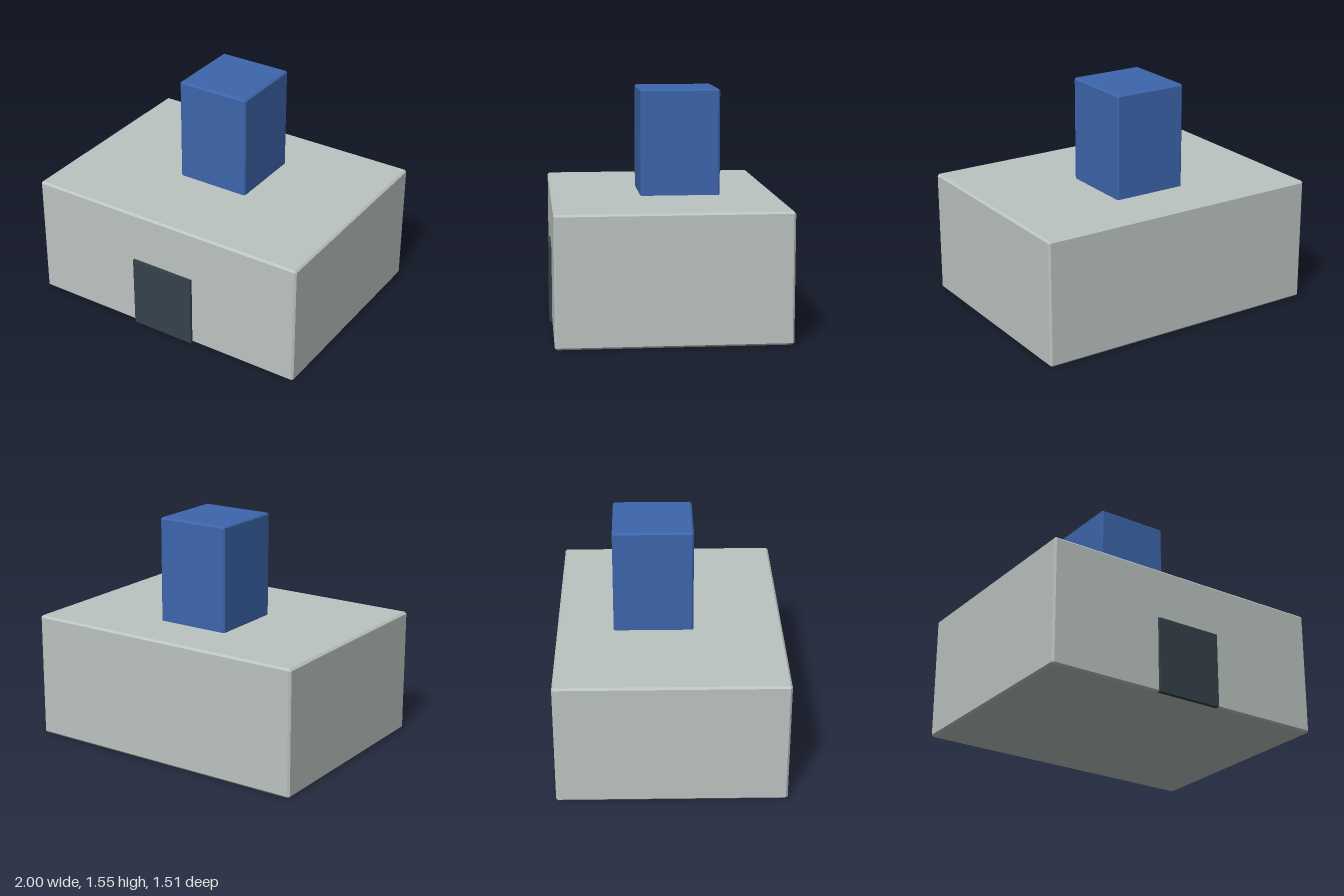
import * as THREE from 'three';
import { ConvexGeometry } from 'three/addons/geometries/ConvexGeometry.js';

// Box between two corners with every edge chamfered by c
function chamferedBox(min, max, c) {
  const centre = min.map((v, i) => (v + max[i]) / 2);
  const half = max.map((v, i) => (v - min[i]) / 2);
  const points = [];
  for (const sx of [-1, 1]) for (const sy of [-1, 1]) for (const sz of [-1, 1]) {
    const sign = [sx, sy, sz];
    // each corner becomes three points, one on each adjoining face
    for (let face = 0; face < 3; face++) {
      points.push(new THREE.Vector3(...sign.map((s, i) => s * (half[i] - (i === face ? 0 : c)))));
    }
  }
  return new ConvexGeometry(points).translate(...centre);
}

function addPart(group, name, geometry, color) {
  const mesh = new THREE.Mesh(geometry, new THREE.MeshStandardMaterial({ color, flatShading: true }));
  mesh.name = name;
  group.add(mesh);
}

export function createModel() {
  const group = new THREE.Group();
  group.name = 'building';

  // Main hall
  addPart(group, 'hall', chamferedBox([-1, 0, -0.757], [1, 0.845, 0.74], 0.013), 0xbcc4c1);

  // Tower, its foot sunk slightly into the roof
  addPart(group, 'tower', chamferedBox([-0.255, 0.825, -0.382], [0.255, 1.55, 0.147], 0.011), 0x3d66ad);

  // Door panel, standing just proud of the front wall
  const door = new THREE.BoxGeometry(0.456, 0.5, 0.03).translate(0, 0.25, 0.742);
  addPart(group, 'door', door, 0x36424b);

  return group;
}
